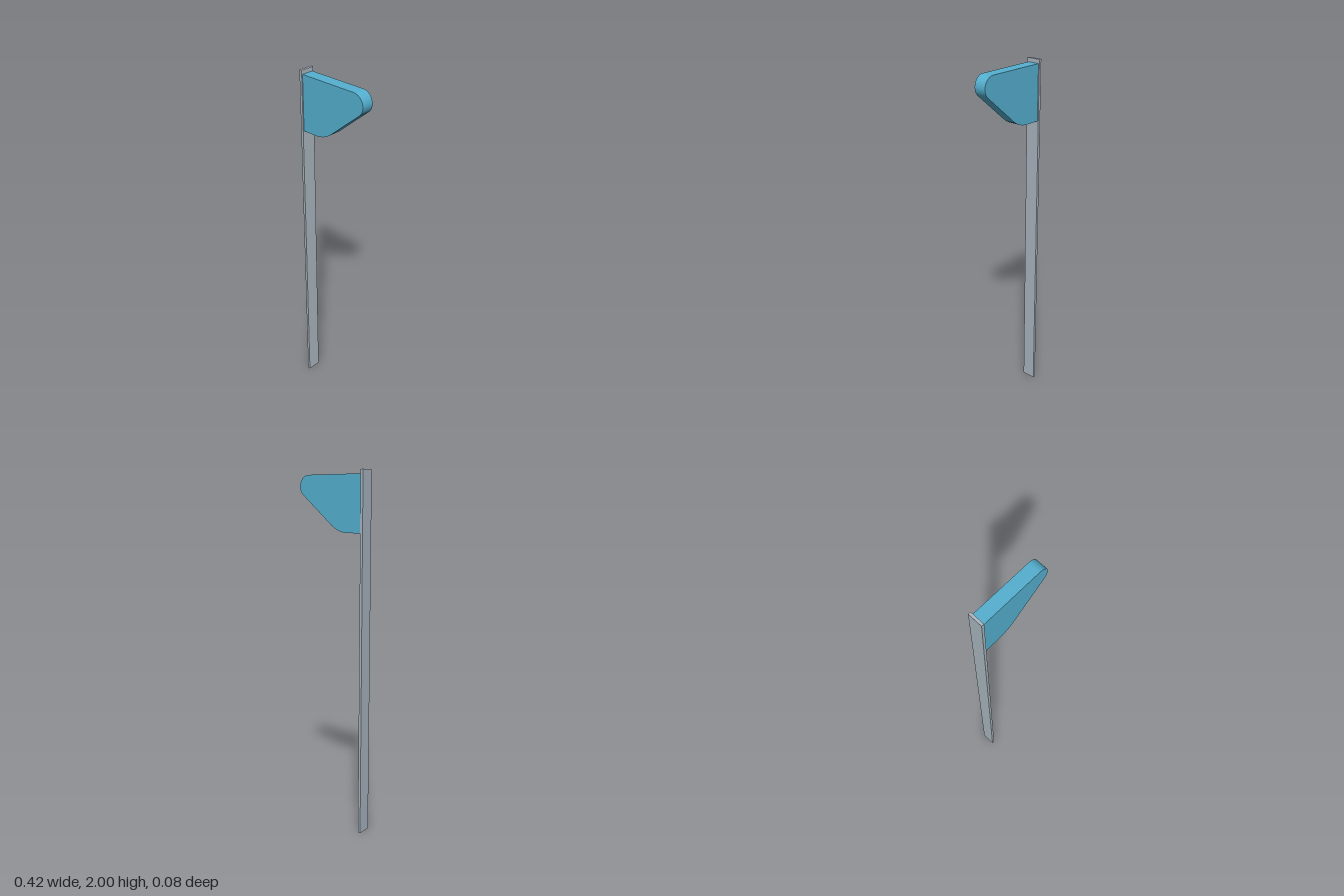
import * as THREE from 'three';
import { toCreasedNormals } from 'three/addons/utils/BufferGeometryUtils.js';

export function createModel() {
  const group = new THREE.Group();
  const steel = new THREE.MeshStandardMaterial({ color: 0xaab6c0 });
  steel.name = 'grey steel';
  const blue = new THREE.MeshStandardMaterial({ color: 0x55b0d0 });
  blue.name = 'blue plastic';

  // Tall flat strip
  const railLeft = -0.208, railRight = -0.193;
  const rail = new THREE.Mesh(new THREE.BoxGeometry(railRight - railLeft, 2, 0.08), steel);
  rail.name = 'rail';
  rail.position.set((railLeft + railRight) / 2, 1, 0);
  group.add(rail);

  // Bracket outline: flat top, round nose, sloping underside blended into a flat foot
  const depth = 0.068, top = 1.978, bottom = 1.676;
  const noseR = 0.06, footR = 0.17, slope = THREE.MathUtils.degToRad(39.8);
  const outline = new THREE.Shape();
  outline.moveTo(railRight, top);
  outline.lineTo(railRight, bottom);
  outline.lineTo(-0.11, bottom);
  outline.absarc(-0.11, bottom + footR, footR, -Math.PI / 2, -Math.PI / 2 + slope, false);
  outline.absarc(0.148, top - noseR, noseR, -Math.PI / 2 + slope, Math.PI / 2, false);
  outline.closePath();

  const shape = new THREE.ExtrudeGeometry(outline, { depth, bevelEnabled: false, curveSegments: 20 });
  shape.translate(0, 0, -depth / 2);
  const bracket = new THREE.Mesh(toCreasedNormals(shape, 0.5), blue);
  bracket.name = 'bracket';
  group.add(bracket);

  return group;
}
